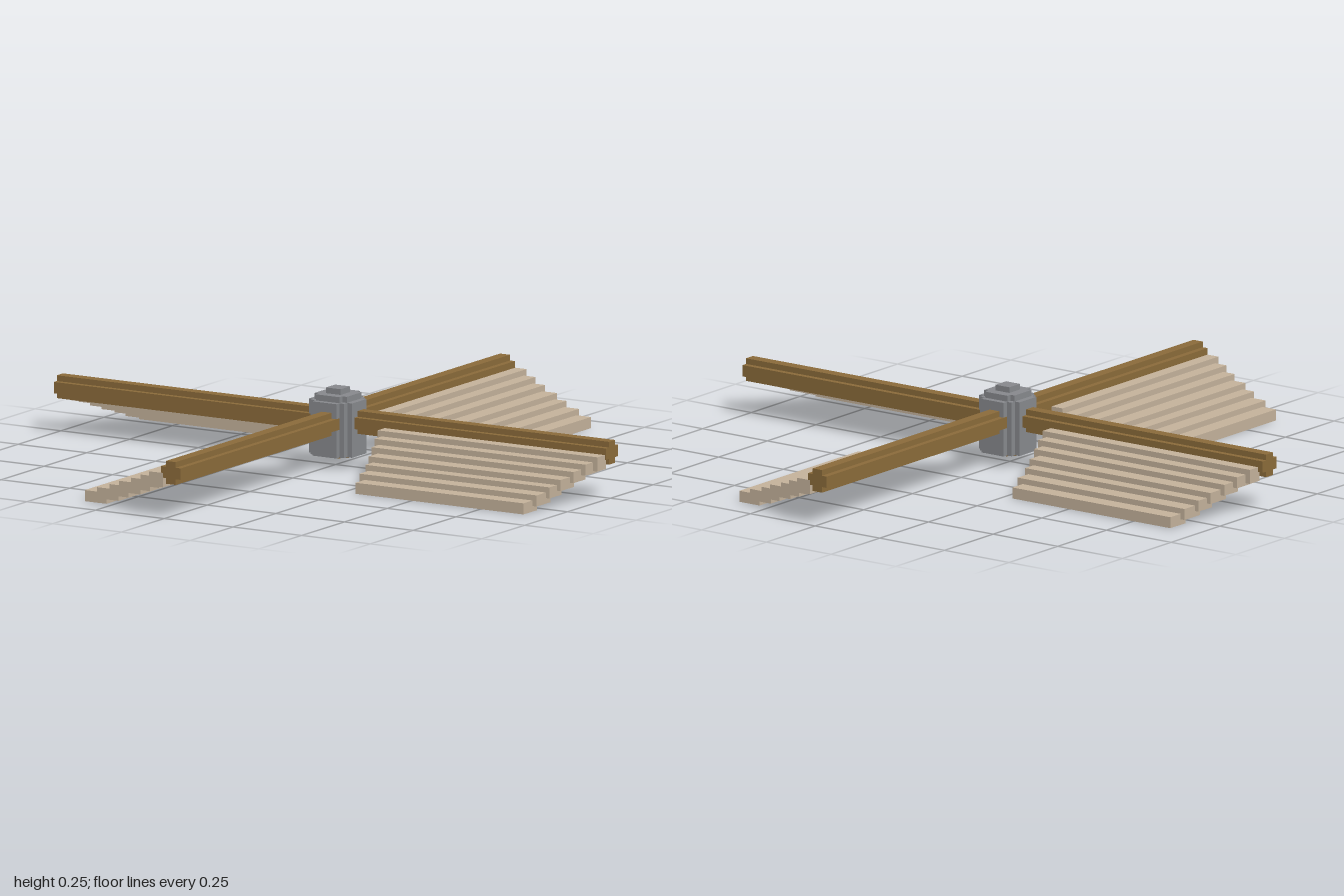
import * as THREE from 'three';

const mat = (name, color) => {
  const m = new THREE.MeshStandardMaterial({ color });
  m.name = name;
  return m;
};

// Stepped, blocky disc outline: points of one quadrant mirrored around
function steppedShape(quadrant) {
  const pts = [];
  for (let q = 0; q < 4; q++) {
    const c = [1, 0, -1, 0][q], s = [0, 1, 0, -1][q];
    for (const [x, y] of quadrant) pts.push(new THREE.Vector2(c * x - s * y, s * x + c * y));
  }
  return new THREE.Shape(pts);
}

const extrude = (shape, depth) =>
  new THREE.ExtrudeGeometry(shape, { depth, bevelEnabled: false });

function addMesh(parent, name, geometry, material) {
  const mesh = new THREE.Mesh(geometry, material);
  mesh.name = name;
  parent.add(mesh);
  return mesh;
}

export function createModel() {
  const wood = mat('brown wood', 0x8b6b3a);
  const cloth = mat('beige slats', 0xc4b29b);
  const iron = mat('grey iron', 0x87898d);

  const model = new THREE.Group();
  model.name = 'windmillSails';

  const rotor = new THREE.Group();
  rotor.name = 'rotor';
  rotor.position.set(0.007, 0, -0.002);
  model.add(rotor);

  // Hub: stacked blocky tiers
  const tier = (name, quadrant, y0, y1, material) => {
    const g = extrude(steppedShape(quadrant), y1 - y0);
    g.rotateX(-Math.PI / 2);
    addMesh(rotor, name, g, material).position.y = y0;
  };
  tier('hubBody', [[0.078, -0.043], [0.078, 0.043], [0.061, 0.043], [0.061, 0.061], [0.043, 0.061]],
    0.037, 0.208, iron);
  tier('hubShoulder', [[0.059, -0.043], [0.059, 0.043], [0.043, 0.043]], 0.208, 0.227, iron);
  tier('hubCap', [[0.027, -0.027], [0.027, 0.027]], 0.227, 0.245, iron);
  tier('shaftEnd', [[0.061, -0.043], [0.061, 0.043], [0.043, 0.043]], 0.034, 0.04, wood);

  // Slats step down and get shorter away from the spar
  const edges = [0.02, 0.07, 0.113, 0.157, 0.21, 0.253, 0.307, 0.36];
  const inner = [0.188, 0.203, 0.22, 0.243, 0.258, 0.27, 0.289];
  const outer = [0.989, 0.972, 0.956, 0.942, 0.928, 0.915, 0.9];
  const drop = 0.0175;

  const sparShape = steppedShape([[0.036, -0.018], [0.036, 0.018], [0.018, 0.018]]);
  const armLengths = [0.993, 0.988, 1.007, 0.988];

  armLengths.forEach((length, k) => {
    const arm = new THREE.Group();
    arm.name = 'sailArm' + (k + 1);
    arm.rotation.y = k * Math.PI / 2;
    rotor.add(arm);

    const sparGeo = extrude(sparShape, length - 0.04);
    sparGeo.rotateY(Math.PI / 2);
    addMesh(arm, 'spar', sparGeo, wood).position.set(0.04, 0.143, -0.008);

    inner.forEach((u0, i) => {
      const u1 = outer[i];
      const top = 0.14 - drop * i;
      const bottom = i === 0 ? 0.095 : top - 2 * drop;
      const v0 = edges[i] - (i === 0 ? 0 : 0.026); // tucked under the previous slat
      const v1 = edges[i + 1];
      const slat = addMesh(arm, 'slat', new THREE.BoxGeometry(u1 - u0, top - bottom, v1 - v0), cloth);
      slat.position.set((u0 + u1) / 2, (top + bottom) / 2, (v0 + v1) / 2);
    });
  });

  return model;
}
